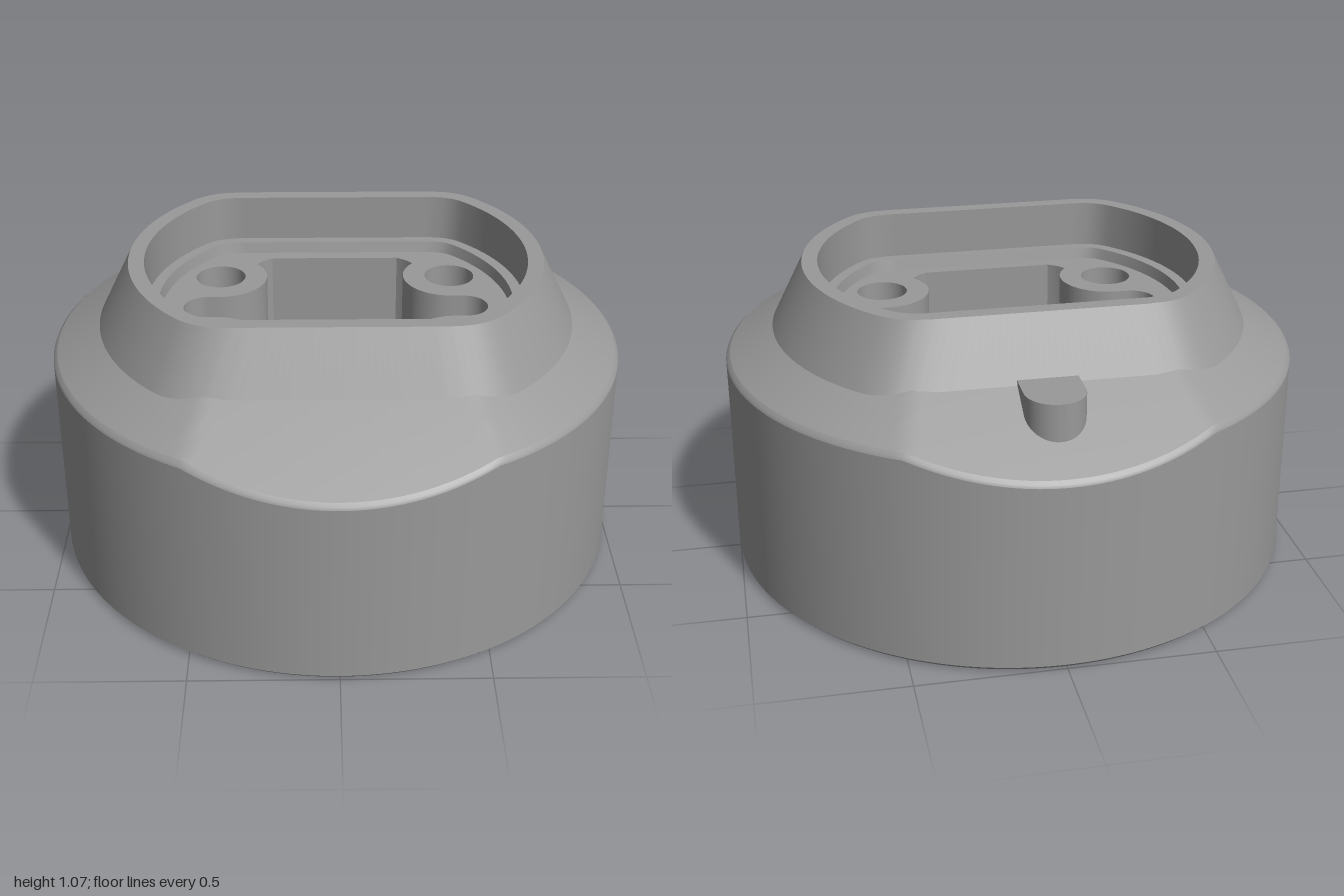
import * as THREE from 'three';
import { toCreasedNormals } from 'three/addons/utils/BufferGeometryUtils.js';

const N = 192;
const TAU = Math.PI * 2;

// Radius at angle t of the neck outline (circle cut by two flats, filleted), offset by d.
function outline(t, d) {
  const c = Math.abs(Math.cos(t)), s = Math.abs(Math.sin(t));
  const cx = 0.375, cz = 0.365;
  const a = Math.atan2(s, c);
  if (a < Math.atan2(cz, cx)) return 0.72 + d;
  if (a > Math.atan2(0.565 + d, cx)) return (0.565 + d) / s;
  const f = 0.72 - Math.hypot(cx, cz) + d;
  const cross = cx * s - cz * c;
  return cx * c + cz * s + Math.sqrt(Math.max(0, f * f - cross * cross));
}

// Shoulder height: a cone trimmed by a sloped plane at the front and back.
function shoulderY(t, r) {
  const z = Math.abs(r * Math.sin(t));
  return Math.min(0.745 + 0.57 * (1 - r), 0.67 + 0.57 * (1 - z));
}

// Offset at which the tapered neck meets the shoulder.
function neckBase(t) {
  let lo = 0, hi = 0.2;
  for (let i = 0; i < 30; i++) {
    const d = (lo + hi) / 2;
    if (1.065 - 2 * d > shoulderY(t, outline(t, d))) lo = d; else hi = d;
  }
  return lo;
}

// Closed band through rings, each a function t -> [radius, y].
function band(rings) {
  const pos = [], idx = [];
  rings.forEach((ring) => {
    for (let i = 0; i < N; i++) {
      const t = (i / N) * TAU, [r, y] = ring(t);
      pos.push(r * Math.cos(t), y, r * Math.sin(t));
    }
  });
  for (let k = 0; k < rings.length - 1; k++) {
    for (let i = 0; i < N; i++) {
      const j = (i + 1) % N, a = k * N + i, b = k * N + j;
      idx.push(a, a + N, b, b, a + N, b + N);
    }
  }
  const g = new THREE.BufferGeometry();
  g.setAttribute('position', new THREE.Float32BufferAttribute(pos, 3));
  g.setIndex(idx);
  g.computeVertexNormals();
  return g;
}

// Upright extrusion between two heights.
function slab(shape, y0, y1) {
  const g = new THREE.ExtrudeGeometry(shape, { depth: y1 - y0, bevelEnabled: false, curveSegments: 32 });
  g.rotateX(-Math.PI / 2);
  g.translate(0, y0, 0);
  return toCreasedNormals(g, 0.5);
}

const circle = (x, y, r) => new THREE.Path().absarc(x, y, r, 0, TAU, false);
const disc = (r) => new THREE.Shape(Array.from({ length: N }, (_, i) =>
  new THREE.Vector2(r * Math.cos((i / N) * TAU), r * Math.sin((i / N) * TAU))));

function arcPoints(cx, cy, r, a0, a1, n) {
  return Array.from({ length: n + 1 }, (_, i) => {
    const a = THREE.MathUtils.degToRad(a0 + ((a1 - a0) * i) / n);
    return [cx + r * Math.cos(a), cy + r * Math.sin(a)];
  });
}

// Mirror one quadrant of points into a closed path.
function mirrored(q) {
  const rev = [...q].reverse();
  const all = [
    ...q,
    ...rev.map(([x, y]) => [-x, y]),
    ...q.map(([x, y]) => [-x, -y]),
    ...rev.map(([x, y]) => [x, -y]),
  ].map(([x, y]) => new THREE.Vector2(x, y));
  const pts = all.filter((p, i) => p.distanceTo(all[(i + 1) % all.length]) > 1e-5);
  return new THREE.Path(pts);
}

// Central opening with side slots and four screw bosses left standing.
function addOpening(shape) {
  shape.holes.push(mirrored([
    ...arcPoints(0.46, 0, 0.08, 0, 90, 10),
    ...arcPoints(0.42, 0.25, 0.17, 270, 140, 18),
    [0.27, 0.385], [0.235, 0.41],
  ]));
  for (const x of [-0.42, 0.42]) for (const y of [-0.25, 0.25]) shape.holes.push(circle(x, y, 0.09));
  return shape;
}

export function createModel() {
  const group = new THREE.Group();
  const grey = new THREE.MeshStandardMaterial({ color: 0x999999 });
  grey.name = 'grey';
  const add = (name, geometry) => {
    const m = new THREE.Mesh(geometry, grey);
    m.name = name;
    group.add(m);
  };

  // Outer skin
  const flat = (r, y) => () => [r, y];
  const rim = (t) => [1, shoulderY(t, 1) - 0.012];
  const edge = (t) => [0.985, shoulderY(t, 0.985)];
  const base = (t) => { const d = neckBase(t); return [outline(t, d), 1.065 - 2 * d]; };
  const off = (d, y) => (t) => [outline(t, d), y];
  add('bottomBevel', band([flat(0.985, 0), flat(1, 0.015)]));
  add('outerWall', band([flat(1, 0.015), rim]));
  add('shoulderBevel', band([rim, (t) => [0.996, shoulderY(t, 0.996) - 0.004], edge]));
  const steps = 12;
  add('shoulder', band(Array.from({ length: steps + 1 }, (_, k) => (t) => {
    const r = THREE.MathUtils.lerp(0.985, base(t)[0], k / steps);
    return [r, shoulderY(t, r)];
  })));
  add('neck', band([base, off(0, 1.065)]));
  add('neckRim', band([off(0, 1.065), off(-0.055, 1.065)]));
  add('recessWall', band([off(-0.055, 1.065), off(-0.055, 0.9)]));
  add('recessLedge', band([off(-0.055, 0.9), off(-0.095, 0.9)]));
  add('recessStep', band([off(-0.095, 0.9), off(-0.105, 0.85)]));

  // Recess floor with bosses, and the wider shelf under it
  const floor = new THREE.Shape(Array.from({ length: N }, (_, i) => {
    const t = (i / N) * TAU, r = outline(t, -0.09);
    return new THREE.Vector2(r * Math.cos(t), r * Math.sin(t));
  }));
  add('recessFloor', slab(addOpening(floor), 0.6, 0.86));
  add('shelf', slab(addOpening(disc(0.8)), 0.56, 0.6));

  // Lower core: bore with two ears and four small screw holes
  const core = disc(0.985);
  const w = 0.12, bore = 0.46;
  const meet = THREE.MathUtils.radToDeg(Math.acos(w / bore));
  core.holes.push(mirrored([
    ...arcPoints(0, 0, bore, 0, meet, 24),
    ...arcPoints(0, 0.5, w, 0, 90, 12),
  ]));
  for (const x of [-0.4, 0.4]) for (const y of [-0.4, 0.4]) core.holes.push(circle(x, y, 0.05));
  add('lowerCore', slab(core, 0, 0.56));

  // Locating tab on the back of the shoulder
  const tab = new THREE.Shape();
  tab.moveTo(-0.1, 0.6);
  tab.lineTo(0.1, 0.6);
  tab.lineTo(0.1, 0.765);
  tab.absarc(0, 0.765, 0.1, 0, Math.PI, false);
  add('locatingTab', slab(tab, 0.62, 0.875));

  return group;
}
